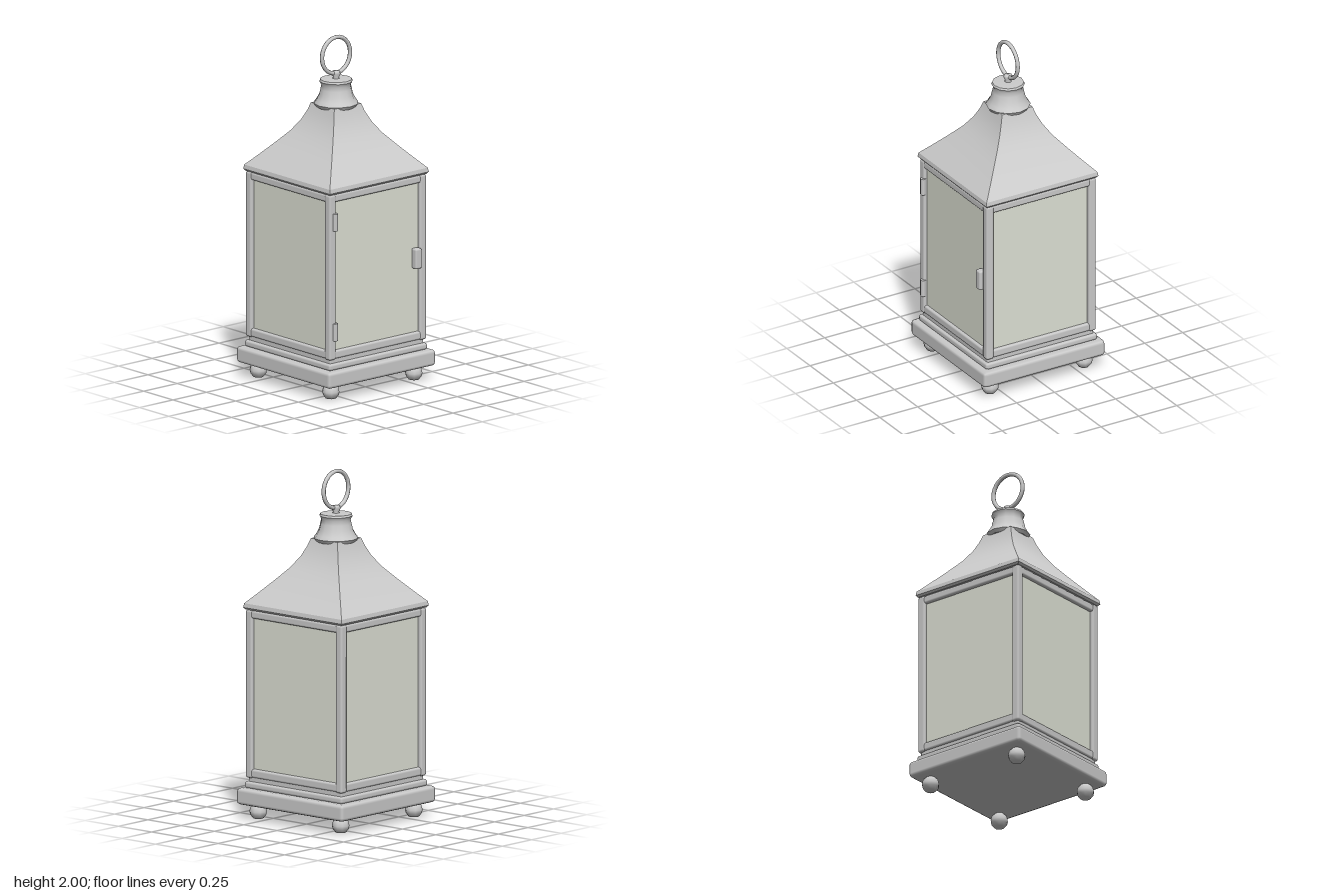
import * as THREE from 'three';
import { toCreasedNormals } from 'three/addons/utils/BufferGeometryUtils.js';
import { RoundedBoxGeometry } from 'three/addons/geometries/RoundedBoxGeometry.js';

export function createModel() {
  const group = new THREE.Group();
  const metal = new THREE.MeshStandardMaterial({ color: 0xcccccc });
  const glass = new THREE.MeshStandardMaterial({ color: 0xdfe2d6 });

  const add = (name, geometry, x, y, z, parent = group, material = metal) => {
    const mesh = new THREE.Mesh(geometry, material);
    mesh.name = name;
    mesh.position.set(x, y, z);
    parent.add(mesh);
    return mesh;
  };
  // Bar with one-step bevelled edges
  const bar = (w, h, d, r) => new RoundedBoxGeometry(w, h, d, 1, r);
  const lathe = (points, sides) =>
    new THREE.LatheGeometry(points.map(([r, y]) => new THREE.Vector2(r, y)), sides);

  // Ball feet
  const footProfile = [[0, 0], [0.03, 0.003], [0.046, 0.024], [0.05, 0.043], [0.043, 0.068], [0.025, 0.087]];
  for (const x of [-0.31, 0.31]) {
    for (const z of [-0.31, 0.31]) add('foot', lathe(footProfile, 10), x, 0, z);
  }

  // Stepped base
  add('baseSlab', bar(0.8, 0.095, 0.8, 0.02), 0, 0.13, 0);
  add('baseMoulding', bar(0.735, 0.04, 0.735, 0.015), 0, 0.196, 0);
  add('baseStep', bar(0.7, 0.04, 0.7, 0.008), 0, 0.225, 0);

  // Four identical sides, each with a post, two rails and a pane
  for (let i = 0; i < 4; i++) {
    const side = new THREE.Group();
    side.name = 'side';
    side.rotation.y = i * Math.PI / 2;
    group.add(side);
    add('post', bar(0.05, 0.965, 0.05, 0.014), 0.338, 0.718, 0.338, side);
    add('bottomRail', bar(0.66, 0.05, 0.045, 0.013), 0, 0.264, 0.336, side);
    add('topRail', bar(0.66, 0.047, 0.045, 0.013), 0, 1.176, 0.336, side);
    add('pane', new THREE.BoxGeometry(0.64, 0.9, 0.012), 0, 0.72, 0.335, side, glass);
  }

  // Door hinges and latch
  for (const y of [0.4, 1.04]) {
    add('hinge', new THREE.CylinderGeometry(0.018, 0.018, 0.1, 6), -0.324, y, 0.362);
  }
  add('latch', bar(0.048, 0.12, 0.045, 0.012), 0.29, 0.72, 0.358);

  // Flared square roof: a four-sided lathe turned to face the front
  const roofProfile = [
    [0, 1.2], [0.36, 1.2], [0.37, 1.212], [0.366, 1.236], [0.315, 1.29], [0.245, 1.367],
    [0.182, 1.44], [0.14, 1.505], [0.115, 1.56], [0.1, 1.605], [0, 1.605],
  ].map(([half, y]) => [half * Math.SQRT2, y]);
  const roof = lathe(roofProfile, 4);
  roof.rotateY(Math.PI / 4);
  add('roof', toCreasedNormals(roof, 0.5), 0, 0, 0);

  // Chimney cap, stem and carrying ring
  const capProfile = [
    [0, 1.588], [0.115, 1.588], [0.127, 1.608], [0.113, 1.628], [0.098, 1.655],
    [0.09, 1.69], [0.084, 1.715], [0.095, 1.735], [0.09, 1.746], [0, 1.75],
  ];
  add('chimneyCap', toCreasedNormals(lathe(capProfile, 12), 0.9), 0, 0, 0);
  add('ringStem', lathe([[0.022, 1.742], [0.017, 1.757], [0.026, 1.775], [0.022, 1.79], [0, 1.795]], 10), 0, 0, 0);
  add('carryingRing', new THREE.TorusGeometry(0.105, 0.012, 8, 28), 0, 1.883, 0);

  return group;
}
